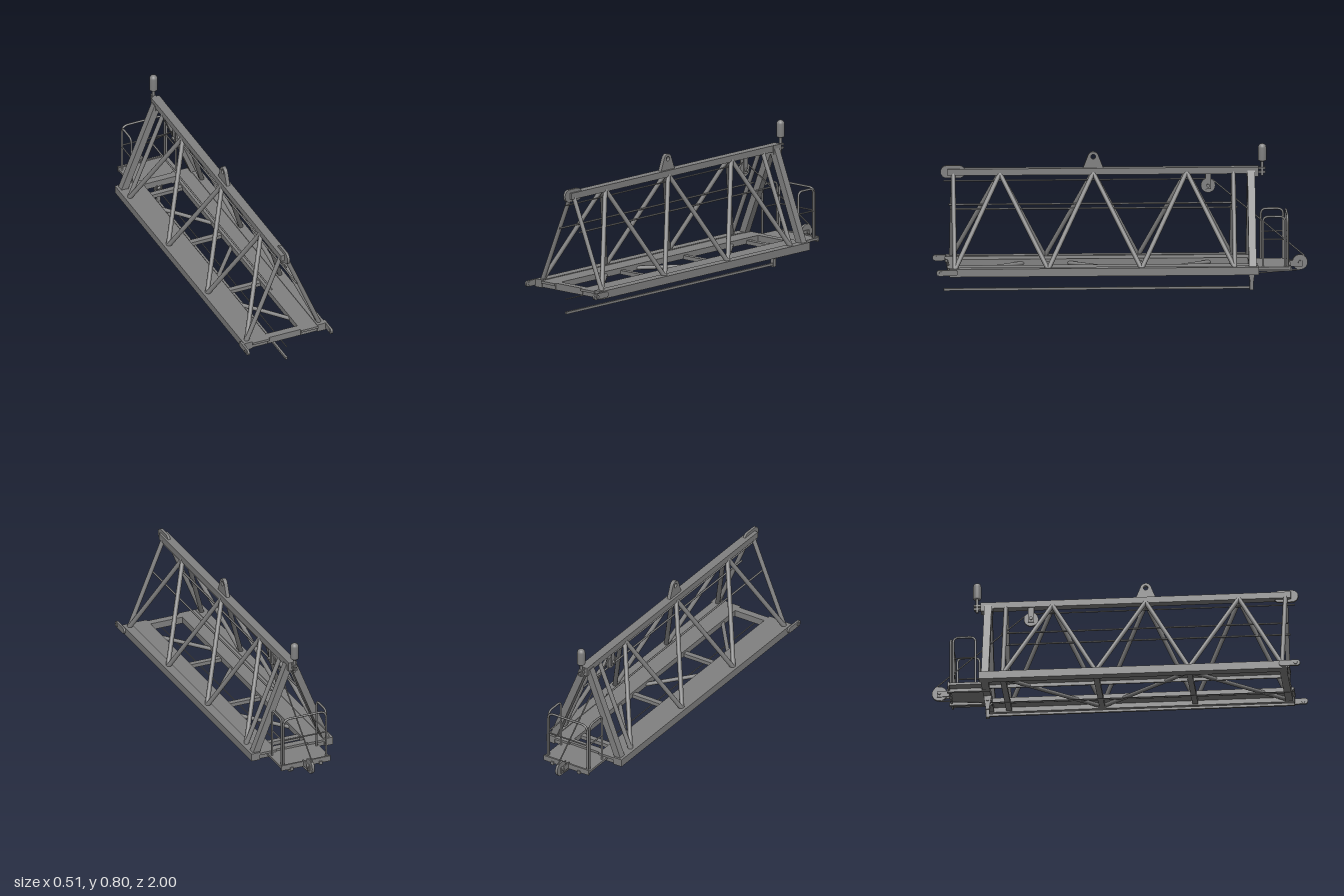
import * as THREE from 'three';

export function createModel() {
  const root = new THREE.Group();
  const mat = new THREE.MeshStandardMaterial({ color: 0x808080 });
  const V = (x, y, z) => new THREE.Vector3(x, y, z);

  const add = (name, geo) => {
    const m = new THREE.Mesh(geo, mat);
    m.name = name;
    root.add(m);
    return m;
  };
  // Box given by its min/max corners
  const box = (name, x0, x1, y0, y1, z0, z1) => {
    const m = add(name, new THREE.BoxGeometry(x1 - x0, y1 - y0, z1 - z0));
    m.position.set((x0 + x1) / 2, (y0 + y1) / 2, (z0 + z1) / 2);
    return m;
  };
  // Round bar between two points
  const rod = (name, a, b, r, sides = 12) => {
    const m = add(name, new THREE.CylinderGeometry(r, r, a.distanceTo(b), sides));
    m.position.copy(a).add(b).multiplyScalar(0.5);
    m.quaternion.setFromUnitVectors(V(0, 1, 0), b.clone().sub(a).normalize());
    return m;
  };
  // Wheel or pin with its axis along x
  const disc = (name, x, y, z, r, w) => rod(name, V(x - w / 2, y, z), V(x + w / 2, y, z), r, 28);
  // Flat plate drawn in (z, y), centred on x
  const plate = (name, shape, x, w) => {
    const geo = new THREE.ExtrudeGeometry(shape, { depth: w, bevelEnabled: false, curveSegments: 14 });
    geo.rotateY(-Math.PI / 2);
    geo.translate(x + w / 2, 0, 0);
    return add(name, geo);
  };
  const stadium = (z0, z1, y, r) => {
    const s = new THREE.Shape();
    s.moveTo(z0 + r, y - r);
    s.lineTo(z1 - r, y - r);
    s.absarc(z1 - r, y, r, -Math.PI / 2, Math.PI / 2, false);
    s.lineTo(z0 + r, y + r);
    s.absarc(z0 + r, y, r, Math.PI / 2, Math.PI * 1.5, false);
    return s;
  };
  // Guard rail hoop with rounded corners, standing on a and b
  const hoop = (name, a, b, top, r) => {
    const ta = a.clone().setY(top), tb = b.clone().setY(top);
    const along = tb.clone().sub(ta).setLength(r);
    const la = V(a.x, top - r, a.z), lb = V(b.x, top - r, b.z);
    const ra = ta.clone().add(along), rb = tb.clone().sub(along);
    const path = new THREE.CurvePath();
    path.add(new THREE.LineCurve3(a, la));
    path.add(new THREE.QuadraticBezierCurve3(la, ta, ra));
    path.add(new THREE.LineCurve3(ra, rb));
    path.add(new THREE.QuadraticBezierCurve3(rb, tb, lb));
    path.add(new THREE.LineCurve3(lb, b));
    add(name, new THREE.TubeGeometry(path, 80, 0.006, 8));
  };

  // Top chord with its front connector
  box('topChord', -0.024, 0.024, 0.635, 0.67, -0.735, 0.93);
  plate('topFrontConnector', stadium(0.835, 0.968, 0.654, 0.034), 0.005, 0.014);

  // Lifting eye
  const eye = new THREE.Shape();
  eye.moveTo(0.095, 0.668);
  eye.lineTo(0.205, 0.668);
  eye.lineTo(0.178, 0.738);
  eye.absarc(0.15, 0.728, 0.029, 0.35, Math.PI - 0.35, false);
  eye.closePath();
  const hole = new THREE.Path();
  hole.absarc(0.15, 0.73, 0.013, 0, Math.PI * 2, true);
  eye.holes.push(hole);
  plate('liftingEye', eye, 0, 0.02);

  // Bottom chords, walkways, connectors and side lattice
  for (const s of [-1, 1]) {
    const sideBox = (name, a, b, ...rest) => box(name, Math.min(s * a, s * b), Math.max(s * a, s * b), ...rest);
    sideBox('bottomChord', 0.19, 0.24, 0.121, 0.164, -0.727, 0.93);
    sideBox('walkway', 0.093, 0.192, 0.147, 0.16, -0.727, 0.938);
    sideBox('walkwayEdge', 0.093, 0.101, 0.128, 0.149, -0.725, 0.93);
    plate('bottomFrontConnector', stadium(0.885, 1, 0.145, 0.016), s * 0.245, 0.012);
    disc('connectorPin', s * 0.247, 0.145, 0.975, 0.01, 0.02);

    const top = z => V(s * 0.012, 0.645, z);
    const bottom = z => V(s * 0.215, 0.155, z);
    for (const z of [0.9, -0.6]) rod('endPost', bottom(z), top(z), 0.012);
    for (const z of [0.65, 0.15, -0.35]) {
      rod('latticeDiagonal', bottom(z + 0.25), top(z), 0.0125);
      rod('latticeDiagonal', bottom(z - 0.25), top(z), 0.0125);
    }
    rod('handLine', V(s * 0.073, 0.462, -0.62), V(s * 0.073, 0.462, 0.92), 0.005, 8);

    // Leg of the rear A-frame
    const a = V(s * 0.21, 0.15, -0.695), b = V(s * 0.012, 0.645, -0.695);
    const leg = add('rearLeg', new THREE.BoxGeometry(0.038, a.distanceTo(b), 0.04));
    leg.position.copy(a).add(b).multiplyScalar(0.5);
    leg.rotation.z = Math.atan2(-(b.x - a.x), b.y - a.y);
  }
  box('rearHeadPlate', -0.025, 0.025, 0.62, 0.67, -0.735, -0.67);

  // Floor cross beams and zigzag bracing
  box('frontBeam', -0.2, 0.2, 0.123, 0.16, 0.885, 0.925);
  box('rearBeam', -0.2, 0.2, 0.123, 0.16, -0.72, -0.68);
  for (const z of [-0.6, -0.1, 0.4]) box('floorBeam', -0.2, 0.2, 0.126, 0.147, z - 0.015, z + 0.015);
  const zig = [V(0.2, 0.137, 0.9), V(-0.2, 0.137, 0.4), V(0.2, 0.137, -0.1), V(-0.2, 0.137, -0.6)];
  for (let i = 0; i < 3; i++) rod('floorBrace', zig[i], zig[i + 1], 0.011);

  // Rear service platform with guard rails
  box('platform', -0.145, 0.145, 0.135, 0.148, -0.9, -0.72);
  box('platformBackEdge', -0.145, 0.145, 0.125, 0.155, -0.903, -0.893);
  for (const s of [-1, 1]) {
    const x = s * 0.131, zf = -0.753, zb = -0.872;
    box('platformBearer', s * 0.085 - 0.009, s * 0.085 + 0.009, 0.118, 0.136, -0.91, -0.68);
    hoop('sideGuardRail', V(x, 0.14, zf), V(x, 0.14, zb), 0.419, 0.03);
    rod('sideMidRail', V(x, 0.296, zf), V(x, 0.296, zb), 0.004, 8);
  }
  hoop('backGuardRail', V(-0.126, 0.14, -0.886), V(0.126, 0.14, -0.886), 0.42, 0.04);
  rod('backMidRail', V(-0.126, 0.296, -0.886), V(0.126, 0.296, -0.886), 0.004, 8);

  // Sheaves with cheek plates
  disc('upperSheave', 0, 0.57, -0.465, 0.039, 0.012);
  disc('upperSheavePin', 0, 0.57, -0.465, 0.009, 0.05);
  disc('rearSheave', 0, 0.15, -0.957, 0.041, 0.014);
  disc('rearSheavePin', 0, 0.15, -0.957, 0.01, 0.044);
  for (const s of [-1, 1]) {
    const x = s * 0.012;
    box('upperSheaveCheek', x - 0.002, x + 0.002, 0.55, 0.636, -0.48, -0.45);
    box('rearSheaveCheek', x - 0.003, x + 0.003, 0.128, 0.16, -0.97, -0.89);
  }

  // Rope run: along the truss, over both sheaves and back to the anchor
  rod('upperRope', V(0, 0.603, 0.95), V(0, 0.605, -0.465), 0.004, 8);
  rod('slopingRope', V(0, 0.602, -0.487), V(0, 0.184, -0.982), 0.004, 8);
  rod('returnRope', V(0, 0.11, -0.957), V(0, 0.09, -0.7), 0.004, 8);
  rod('middleRope', V(0, 0.09, -0.7), V(0, 0.09, 0.95), 0.003, 8);
  box('lowerBar', -0.006, 0.006, 0.008, 0.021, -0.7, 0.95);

  // Rope anchor hanging below the rear beam
  const hanger = new THREE.Shape();
  [[-0.675, 0.13], [-0.72, 0.13], [-0.708, 0.045], [-0.69, 0.045]]
    .forEach(([z, y], i) => (i ? hanger.lineTo(z, y) : hanger.moveTo(z, y)));
  for (const s of [-1, 1]) plate('anchorCheek', hanger, s * 0.015, 0.005);
  box('anchorBlock', -0.01, 0.01, 0, 0.08, -0.708, -0.688);
  disc('anchorPin', 0, 0.1, -0.698, 0.008, 0.046);

  // Warning light on the rear end of the top chord
  const z = -0.755;
  for (const y of [0.641, 0.661]) box('lightBracket', -0.01, 0.01, y - 0.005, y + 0.005, z - 0.018, -0.73);
  rod('lightStem', V(0, 0.622, z), V(0, 0.705, z), 0.008);
  const profile = [[0, 0.7], [0.018, 0.7], [0.022, 0.705], [0.022, 0.773]].map(p => new THREE.Vector2(...p));
  for (let i = 1; i <= 6; i++) {
    const a = i * Math.PI / 12;
    profile.push(new THREE.Vector2(0.022 * Math.cos(a), 0.773 + 0.022 * Math.sin(a)));
  }
  add('warningLight', new THREE.LatheGeometry(profile, 24)).position.z = z;

  return root;
}
